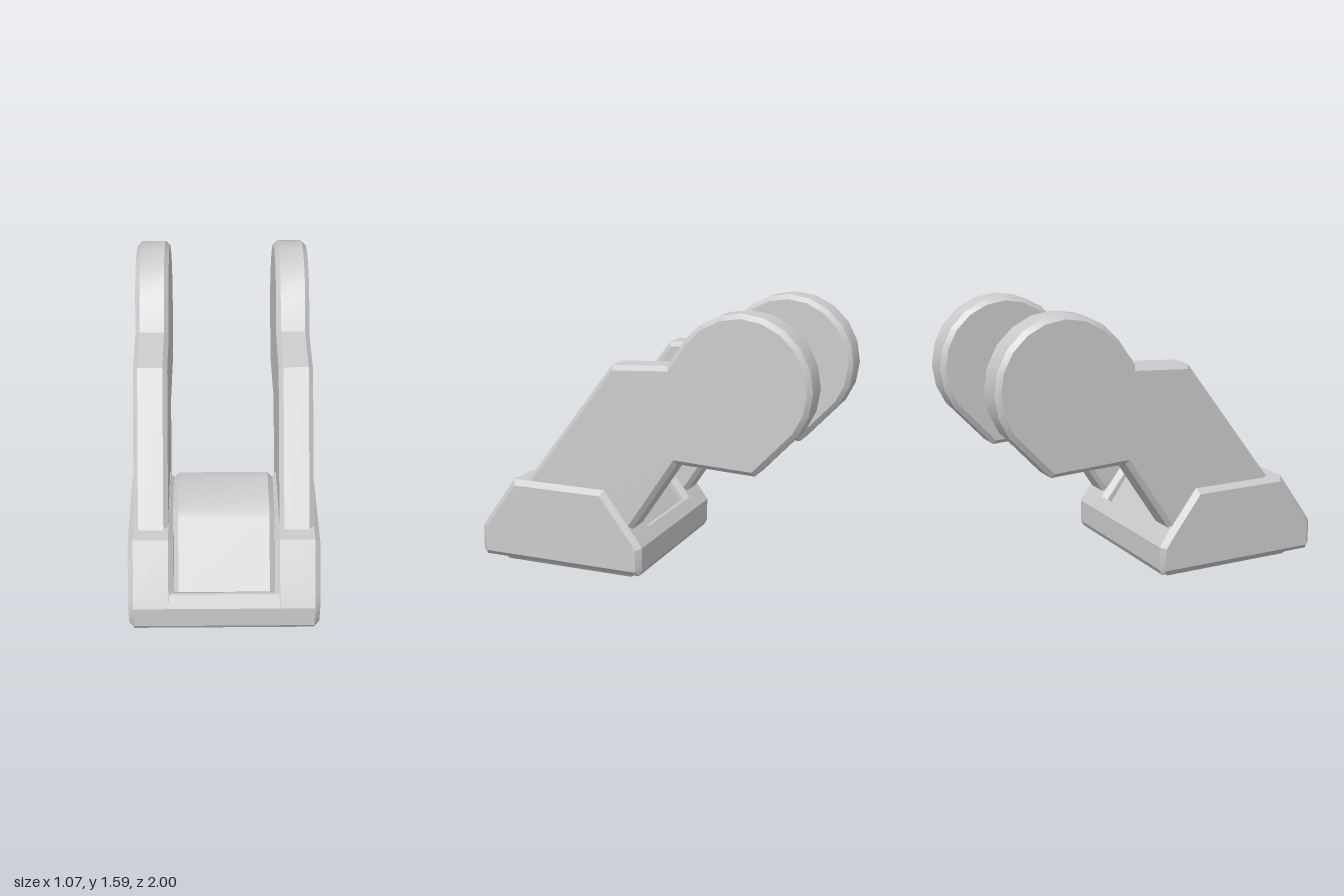
import * as THREE from 'three';
import { toCreasedNormals } from 'three/addons/utils/BufferGeometryUtils.js';

const material = new THREE.MeshStandardMaterial({ color: 0xcccccc });

// Plate with a side outline of [z, y] points, running from x0 to x1, with chamfered rims.
function plate(name, outline, x0, x1, bevel) {
  const shape = new THREE.Shape(outline.map(([z, y]) => new THREE.Vector2(-z, y)));
  const geometry = new THREE.ExtrudeGeometry(shape, {
    depth: x1 - x0 - 2 * bevel,
    bevelEnabled: bevel > 0,
    bevelThickness: bevel,
    bevelSize: bevel,
    bevelOffset: -bevel,
    bevelSegments: 1,
  });
  geometry.translate(0, 0, x0 + bevel);
  geometry.rotateY(Math.PI / 2);
  const mesh = new THREE.Mesh(toCreasedNormals(geometry, 0.4), material);
  mesh.name = name;
  return mesh;
}

// Stepped foot: a box whose levels follow [y, half width, half depth].
function foot() {
  const levels = [[0, 0.4, 0.405], [0.033, 0.425, 0.435], [0.065, 0.505, 0.49]];
  const geometry = new THREE.BoxGeometry(2, 2, 2, 1, 2, 1).toNonIndexed();
  const p = geometry.attributes.position;
  for (let i = 0; i < p.count; i++) {
    const [y, w, d] = levels[Math.round(p.getY(i)) + 1];
    p.setXYZ(i, p.getX(i) * w, y, 0.485 + p.getZ(i) * d);
  }
  geometry.computeVertexNormals();
  const mesh = new THREE.Mesh(geometry, material);
  mesh.name = 'foot';
  return mesh;
}

export function createModel() {
  const model = new THREE.Group();
  model.name = 'armBracket';

  const cheek = [
    [0.98, 0.055], [1, 0.09], [1, 0.225], [0.96, 0.29], [0.78, 0.54],
    [0.2, 0.54], [0.01, 0.29], [-0.035, 0.225], [-0.035, 0.09], [-0.015, 0.055],
  ];

  // Floor between the cheeks, dished around the centre block
  const floor = [
    [0.98, 0.055], [1, 0.09], [1, 0.225], [0.955, 0.29], [0.94, 0.29], [0.9, 0.26],
    [0.07, 0.26], [0.025, 0.29], [0.01, 0.29], [-0.035, 0.225], [-0.035, 0.09], [-0.015, 0.055],
  ];

  // Centre block with a sloped front and back
  const block = [
    [0.93, 0.25], [0.65, 0.6], [0.6, 0.625], [0.36, 0.642],
    [0.3, 0.625], [0.04, 0.25], [0.04, 0.15], [0.93, 0.15],
  ];

  // Slanted arm ending in a round head
  const arm = [[0.76, 0.46], [0.15, 1.26], [-0.18, 1.28]];
  for (let i = 0; i <= 10; i++) {
    const a = THREE.MathUtils.degToRad(36 + 18 * i);
    arm.push([-0.603 + 0.397 * Math.cos(a), 1.195 + 0.395 * Math.sin(a)]);
  }
  arm.push([-0.69, 0.715], [-0.24, 0.735], [0.09, 0.24], [0.6, 0.24]);

  model.add(
    foot(),
    plate('baseFloor', floor, -0.31, 0.31, 0),
    plate('centreBlock', block, -0.285, 0.285, 0.03),
  );
  for (const [side, s] of [['left', 1], ['right', -1]]) {
    const span = (a, b) => (s > 0 ? [a, b] : [-b, -a]);
    model.add(
      plate(side + 'Cheek', cheek, ...span(0.28, 0.535), 0.03),
      plate(side + 'Arm', arm, ...span(0.312, 0.505), 0.026),
    );
  }
  return model;
}
